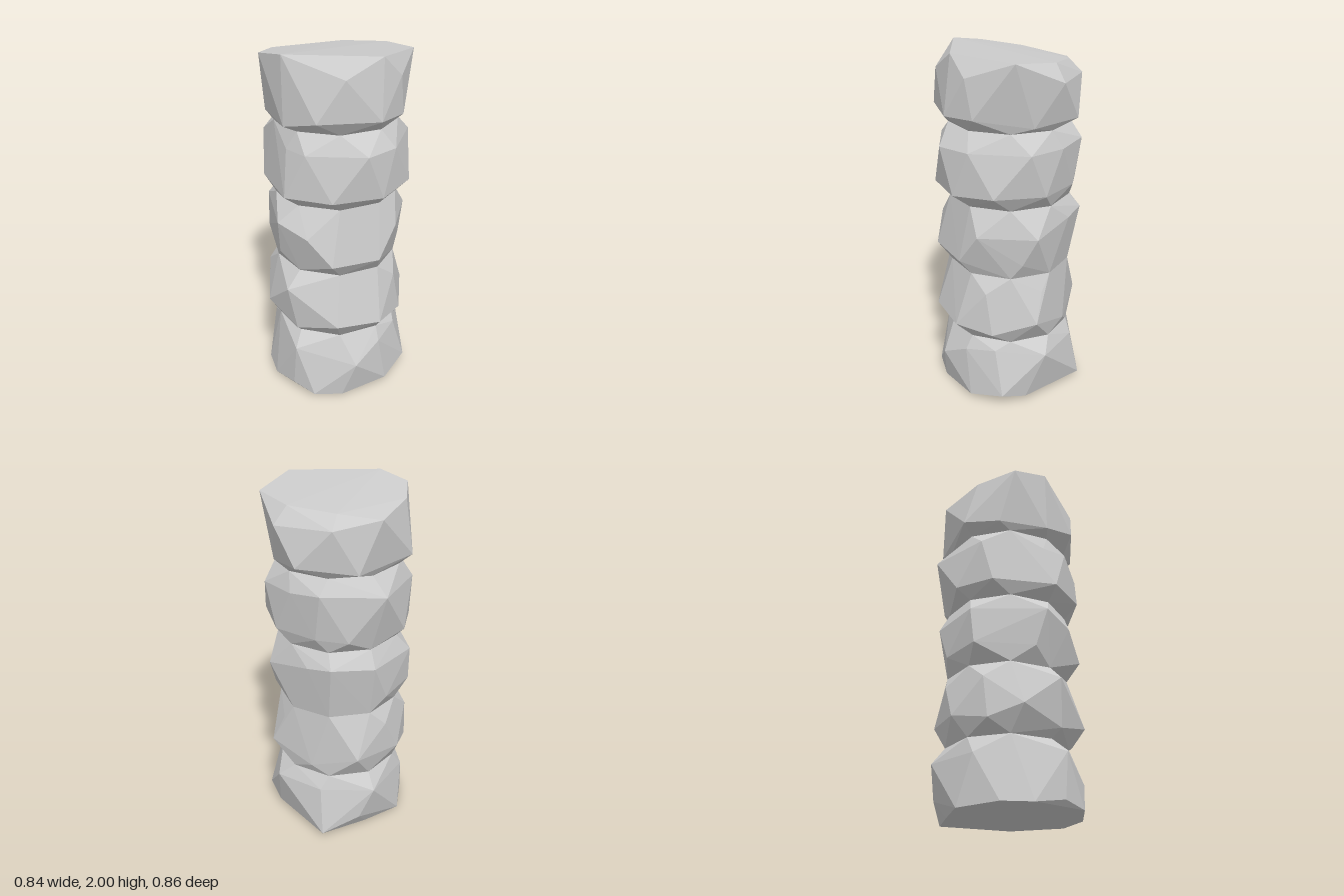
import * as THREE from 'three';
import { ConvexGeometry } from 'three/addons/geometries/ConvexGeometry.js';

const material = new THREE.MeshStandardMaterial({ color: 0xcccccc, flatShading: true });

// Narrow nine-sided waist shared by two neighbouring stones
function joint(y) {
  const radius = 0.34, ring = [];
  for (let i = 0; i < 9; i++) {
    const a = THREE.MathUtils.degToRad(21 + i * 40);
    ring.push(new THREE.Vector3(Math.sin(a) * radius, y, Math.cos(a) * radius));
  }
  return ring;
}

// Faceted stone: its bulging corners wrapped together with the waists it touches
function stone(name, corners, ...waists) {
  const points = corners.map(c => new THREE.Vector3(...c));
  for (const y of waists) points.push(...joint(y));
  const mesh = new THREE.Mesh(new ConvexGeometry(points), material);
  mesh.name = name;
  return mesh;
}

export function createModel() {
  const column = new THREE.Group();
  column.name = 'stoneColumn';

  // Base stone with an uneven foot
  column.add(stone('baseStone', [
    [-0.12, 0, 0.38], [0.17, 0.02, 0.36], [0.36, 0.03, 0.1], [0.29, 0.025, -0.315],
    [0, 0.01, -0.32], [-0.24, 0.01, -0.31], [-0.39, 0.02, -0.12], [-0.41, 0.02, 0.05],
    [-0.28, 0.02, 0.34], [-0.36, 0.05, 0.22],
    [-0.05, 0.21, 0.42], [0.35, 0.07, 0.25], [0.08, 0.11, -0.38],
    [0.41, 0.3, 0], [0.27, 0.33, 0.25], [0.27, 0.3, -0.26], [0, 0.29, -0.41],
    [-0.3, 0.28, -0.24], [-0.35, 0.3, 0.24], [0.12, 0.3, 0.36],
  ], 0.38));

  // Second stone
  column.add(stone('lowerStone', [
    [-0.16, 0.49, 0.4], [0.1, 0.47, 0.41], [0.29, 0.45, 0.28], [0.41, 0.52, 0.06],
    [0.29, 0.44, -0.19], [0.1, 0.52, -0.39], [-0.2, 0.5, -0.34], [-0.36, 0.45, -0.18],
    [-0.42, 0.52, 0], [-0.33, 0.43, 0.22],
    [-0.38, 0.69, 0.21], [0.24, 0.69, 0.29], [0.36, 0.69, 0],
    [-0.1, 0.69, -0.36], [-0.34, 0.68, -0.2],
  ], 0.38, 0.78));

  // Middle stone
  column.add(stone('middleStone', [
    [-0.18, 0.87, 0.38], [0.1, 0.86, 0.38], [0.35, 0.87, 0.12],
    [-0.1, 0.87, -0.36], [-0.32, 0.88, -0.25], [-0.37, 0.87, 0.08],
    [-0.29, 1.02, 0.29], [0.22, 1.03, 0.33], [0.41, 1.03, 0.06], [0.31, 1.08, -0.2],
    [0.235, 1.1, -0.325], [0, 1.08, -0.395], [-0.31, 1.08, -0.27], [-0.4, 1.08, 0.14],
  ], 0.78, 1.18));

  // Fourth stone
  column.add(stone('upperStone', [
    [-0.18, 1.25, 0.38], [0.1, 1.25, 0.41], [0.32, 1.27, 0.28], [0.39, 1.26, 0],
    [0.28, 1.26, -0.24], [0.14, 1.25, -0.35], [-0.22, 1.25, -0.335], [-0.37, 1.25, -0.16],
    [-0.38, 1.25, 0.2],
    [0, 1.5, 0.43], [0.19, 1.5, 0.36], [0.4, 1.5, 0.1], [0.36, 1.5, -0.12],
    [0.28, 1.52, -0.29], [-0.04, 1.5, -0.43], [-0.34, 1.5, -0.22],
    [-0.34, 1.5, 0.14], [-0.29, 1.5, 0.28],
  ], 1.18, 1.6));

  // Capping stone, its top sloping down to the back
  column.add(stone('capStone', [
    [0.07, 1.68, 0.43], [0.23, 1.68, 0.35], [0.36, 1.63, 0.06], [0.37, 1.66, -0.2],
    [0.1, 1.63, -0.38], [-0.27, 1.66, -0.31], [-0.36, 1.64, -0.12], [-0.36, 1.63, 0.16],
    [-0.25, 1.68, 0.34],
    [-0.11, 1.9, 0.385], [0.2, 1.89, 0.375], [0.42, 1.86, -0.08], [0.22, 1.86, -0.32],
    [-0.36, 2, 0.155], [0.09, 2, 0.395], [0.37, 1.97, 0.18], [0.34, 1.95, -0.075],
    [0.165, 1.93, -0.27], [-0.03, 1.9, -0.39], [-0.27, 1.94, -0.235], [-0.41, 1.97, -0.04],
  ], 1.6));

  return column;
}
